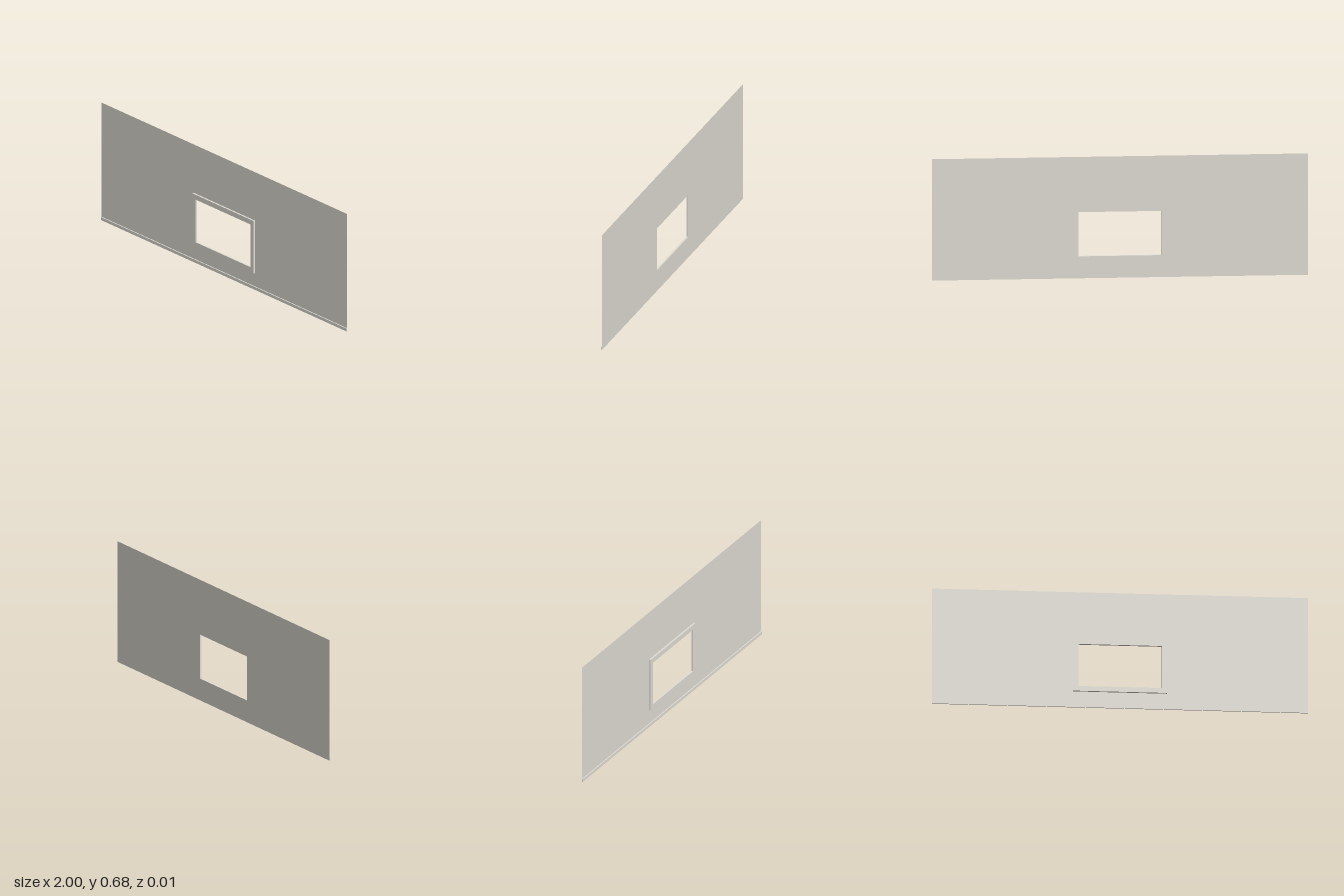
import * as THREE from 'three';

const BACK = -0.005; // plane of the wall sheet

// Adds a closed rectangle to a Shape or Path
function rect(target, x, y0, y1) {
  target.moveTo(-x, y0);
  target.lineTo(x, y0);
  target.lineTo(x, y1);
  target.lineTo(-x, y1);
  target.closePath();
  return target;
}

// Rectangle with the window opening cut out
function panelShape(x, y0, y1) {
  const shape = rect(new THREE.Shape(), x, y0, y1);
  shape.holes.push(rect(new THREE.Path(), 0.222, 0.122, 0.368));
  return shape;
}

export function createModel() {
  const group = new THREE.Group();
  group.name = 'wallWithWindow';
  const plaster = new THREE.MeshStandardMaterial({ color: 0xe2ded6, side: THREE.DoubleSide });
  plaster.name = 'pale warm plaster';

  function add(name, geometry, y, z) {
    const mesh = new THREE.Mesh(geometry, plaster);
    mesh.name = name;
    mesh.position.set(0, y, z);
    group.add(mesh);
  }

  // Wall sheet, open where the window sits
  add('wall', new THREE.ShapeGeometry(panelShape(1, 0, 0.675)), 0, BACK);

  // Raised window surround on the front
  const frame = new THREE.ExtrudeGeometry(panelShape(0.25, 0.094, 0.396), { depth: 0.01, bevelEnabled: false });
  add('windowFrame', frame, 0, BACK);

  // Skirting along the foot of the wall
  add('skirting', new THREE.BoxGeometry(2, 0.017, 0.006), 0.0085, BACK + 0.003);

  return group;
}
